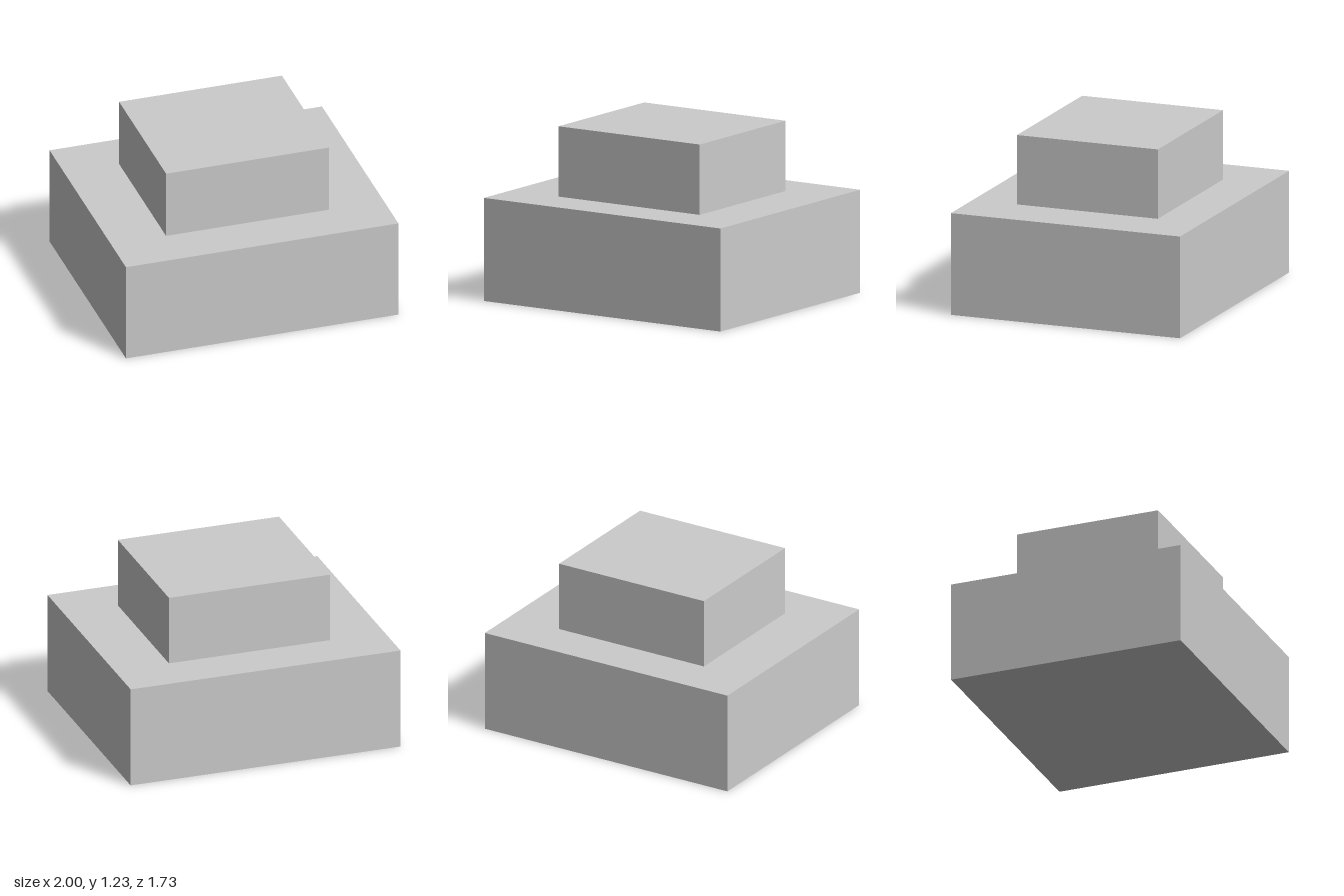
import * as THREE from 'three';

const material = new THREE.MeshStandardMaterial({ color: 0xcccccc, flatShading: true });

// Box standing on height y, centred on x = 0 and z = 0
function block(name, width, height, depth, y) {
  const mesh = new THREE.Mesh(new THREE.BoxGeometry(width, height, depth), material);
  mesh.name = name;
  mesh.position.y = y + height / 2;
  return mesh;
}

export function createModel() {
  const model = new THREE.Group();
  model.name = 'steppedBlock';
  const baseHeight = 0.733;
  model.add(
    block('lowerBlock', 2, baseHeight, 1.73, 0),
    block('upperBlock', 1.195, 0.5, 1.064, baseHeight),
  );
  return model;
}
